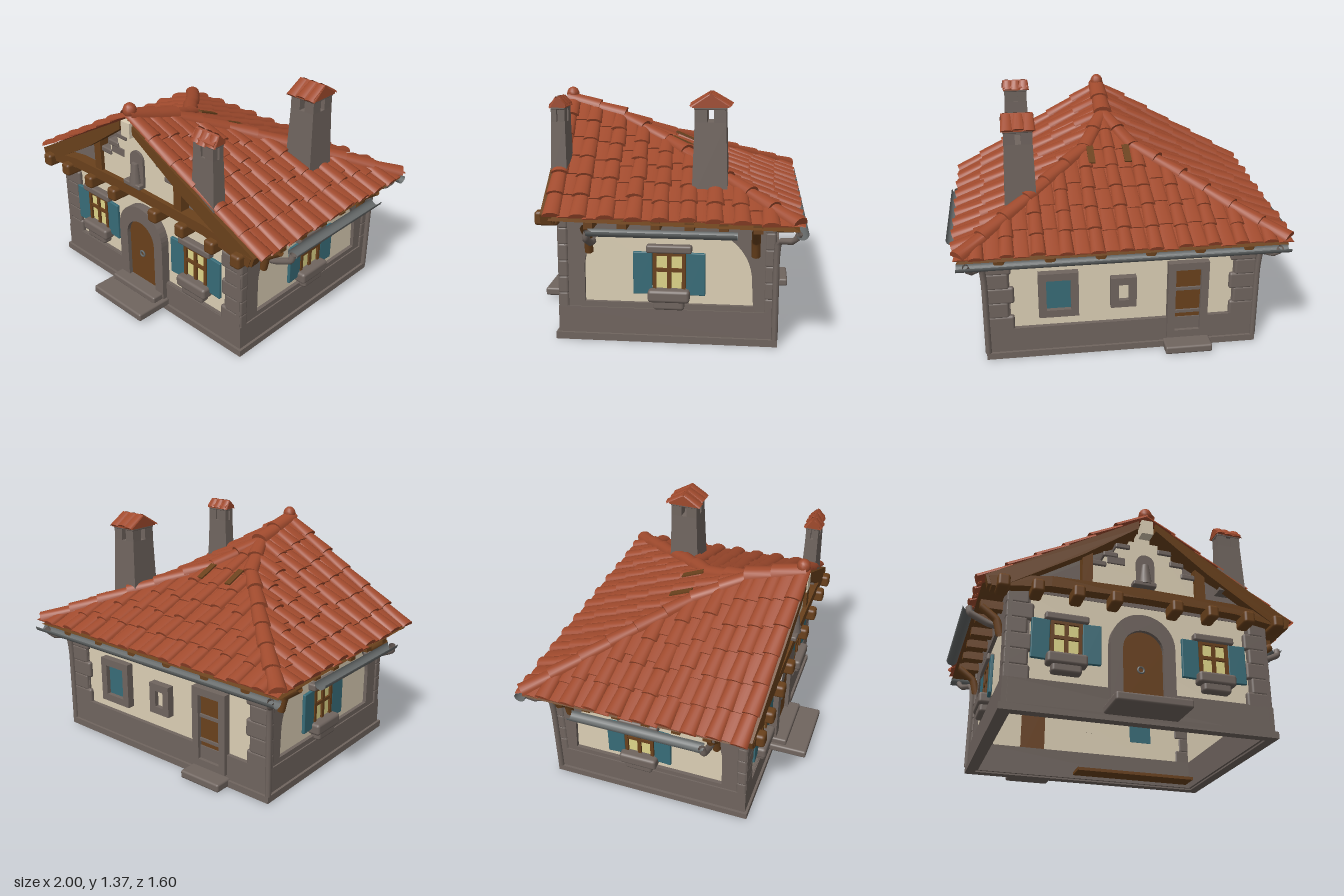
import * as THREE from 'three';
import { mergeGeometries, toCreasedNormals } from 'three/addons/utils/BufferGeometryUtils.js';
import { RoundedBoxGeometry } from 'three/addons/geometries/RoundedBoxGeometry.js';

const V = (x, y, z) => new THREE.Vector3(x, y, z);
const mat = (name, color) => new THREE.MeshStandardMaterial({ name, color, side: THREE.DoubleSide });
const M = {
  tile: mat('terracotta', 0xa04a2d), stone: mat('stone', 0x70655f), plaster: mat('plaster', 0xdccfb5),
  wood: mat('wood', 0x6a411c), teal: mat('teal paint', 0x386c78), glass: mat('lit glass', 0xdfd68a),
  metal: mat('gutter metal', 0x666a6a),
};
let seed = 7;
const rnd = () => (seed = (seed * 16807) % 2147483647) / 2147483647;

function add(parent, name, geo, material, x = 0, y = 0, z = 0) {
  const m = new THREE.Mesh(geo, material);
  m.name = name;
  m.position.set(x, y, z);
  parent.add(m);
  return m;
}
const box = (p, name, m, w, h, d, x, y, z) => add(p, name, new THREE.BoxGeometry(w, h, d), m, x, y, z);
const soft = (p, name, m, w, h, d, x, y, z) =>
  add(p, name, new RoundedBoxGeometry(w, h, d, 2, Math.min(w, h, d) * 0.25), m, x, y, z);
const poly = pts => new THREE.Shape(pts.map(q => new THREE.Vector2(...q)));
const extrude = (shape, depth) => new THREE.ExtrudeGeometry(shape, { depth, bevelEnabled: false, curveSegments: 10 });
const rect = (x0, x1, y0, y1) => poly([[x0, y0], [x1, y0], [x1, y1], [x0, y1]]);

// Hollow rectangular course of wall, centred on the house
function course(p, name, m, w, d, t, y0, y1) {
  const s = rect(-w / 2, w / 2, -d / 2, d / 2);
  s.holes.push(rect(-w / 2 + t, w / 2 - t, -d / 2 + t, d / 2 - t));
  add(p, name, extrude(s, y1 - y0), m, 0, y0, -0.04).rotation.x = -Math.PI / 2;
}
// Box whose top is scaled
function taper(w, h, d, k) {
  const g = new THREE.BoxGeometry(w, h, d), a = g.attributes.position;
  for (let i = 0; i < a.count; i++) if (a.getY(i) > 0) a.setXYZ(i, a.getX(i) * k, a.getY(i), a.getZ(i) * k);
  g.computeVertexNormals();
  return g;
}
// Surface from a two-parameter rule
function sheet(nu, nv, f) {
  const pos = [], idx = [];
  for (let i = 0; i <= nu; i++) for (let j = 0; j <= nv; j++) {
    pos.push(...f(i / nu, j / nv).toArray());
    if (i < nu && j < nv) {
      const a = i * (nv + 1) + j, b = a + nv + 1;
      idx.push(a, b, a + 1, b, b + 1, a + 1);
    }
  }
  const g = new THREE.BufferGeometry();
  g.setAttribute('position', new THREE.Float32BufferAttribute(pos, 3));
  g.setIndex(idx);
  g.computeVertexNormals();
  return g;
}
// Overlapping half-round tiles from the low end a to the high end b
function tileRow(out, a, b, r, rise, step = 0.17) {
  const len = a.distanceTo(b), n = Math.max(1, Math.round(len / step));
  const d = b.clone().sub(a).normalize();
  const side = d.clone().cross(V(0, 1, 0)).normalize(), up = side.clone().cross(d);
  for (let i = 0; i < n; i++) {
    const l0 = i * len / n - 0.012 - rnd() * 0.015, l1 = (i + 1) * len / n + 0.01;
    const sway = (rnd() - 0.5) * 0.012, lift = 0.006 + rnd() * 0.007;
    out.push(sheet(2, 8, (u, v) => {
      const k = u === 0 ? 0 : u === 0.5 ? r : r * 0.82, t = v * Math.PI;
      return a.clone().addScaledVector(d, u === 1 ? l1 : l0)
        .addScaledVector(side, Math.cos(t) * k + sway)
        .addScaledVector(up, Math.sin(t) * k * rise + (u === 1 ? 0 : lift));
    }));
  }
}

// Roof key points: sloping front ridge, then two bent hips to the back corners
const APEX = V(0, 1.19, 0.32), FRONT = V(0, 1.295, 0.65), EX = 0.925, BACK = -0.755;
const BEND = 0.15, BENDZ = 0.03;
const hip = (t, s) => {
  const knee = V(s * BEND * EX, 1.065, BENDZ);
  return t < BEND ? APEX.clone().lerp(knee, t / BEND)
    : knee.lerp(V(s * EX, 0.735, BACK), (t - BEND) / (1 - BEND));
};
const sideLow = (u, s) => V(s * EX, 0.76 - 0.025 * u, THREE.MathUtils.lerp(0.57, BACK, u));
const sideTop = (u, s) => {
  const z = THREE.MathUtils.lerp(FRONT.z, BACK, u);
  if (z > APEX.z) return APEX.clone().lerp(FRONT, (z - APEX.z) / (FRONT.z - APEX.z));
  return hip(z > BENDZ ? BEND * (APEX.z - z) / (APEX.z - BENDZ)
    : BEND + (1 - BEND) * (BENDZ - z) / (BENDZ - BACK), s);
};
const backLow = x => V(x, 0.735, BACK);

function buildRoof(house) {
  const roof = new THREE.Group();
  roof.name = 'roof';
  house.add(roof);
  const decks = dy => [
    ...[-1, 1].map(s => sheet(40, 1, (u, v) => sideTop(u, s).lerp(sideLow(u, s), v).add(V(0, dy, 0)))),
    sheet(40, 1, (u, v) => {
      const x = (u * 2 - 1) * EX;
      return hip(Math.abs(x) / EX, Math.sign(x)).lerp(backLow(x), v).add(V(0, dy, 0));
    })];
  add(roof, 'roofDeck', toCreasedNormals(mergeGeometries(decks(0)), 0.4), M.tile);
  add(roof, 'roofUnderside', toCreasedNormals(mergeGeometries(decks(-0.028)), 0.4), M.wood);

  const tiles = [];
  for (const s of [-1, 1]) {
    for (let i = 0; i < 18; i++) {
      const u = 0.015 + i / 18.4, cover = i % 2 === 0;
      tileRow(tiles, sideLow(u, s), sideTop(u, s), cover ? 0.05 : 0.045, cover ? 0.6 : 0.2);
    }
    tileRow(tiles, hip(0.98, s), hip(BEND, s), 0.05, 0.8, 0.2);
    tileRow(tiles, hip(BEND, s), hip(0, s), 0.05, 0.7, 0.17);
  }
  for (let i = -11; i <= 11; i++) {
    const x = i * 0.0815, cover = i % 2 === 0;
    tileRow(tiles, backLow(x), hip(Math.abs(x) / EX, Math.sign(x)), cover ? 0.043 : 0.045, cover ? 0.6 : 0.2);
  }
  tileRow(tiles, APEX, FRONT, 0.06, 0.75, 0.2);
  add(roof, 'roofTiles', toCreasedNormals(mergeGeometries(tiles), 0.7), M.tile);
  const knob = add(roof, 'ridgeFinial', new THREE.SphereGeometry(0.045, 12, 8), M.tile, 0, 1.32, 0.63);
  knob.scale.set(0.9, 1, 0.9);
  // Gaps with missing tiles near the apex
  for (const x of [-0.1, 0.12])
    box(roof, 'roofGap', M.wood, 0.042, 0.009, 0.15, x, 1.05, -0.08).rotation.x = -0.4;
}

// Window facing +z with its centre on the wall face
function shutteredWindow(house, x, y, z, turn) {
  const g = new THREE.Group();
  g.name = 'shutteredWindow';
  g.position.set(x, y, z);
  g.rotation.y = turn;
  house.add(g);
  box(g, 'glass', M.glass, 0.17, 0.23, 0.08, 0, 0, -0.03);
  for (const s of [-1, 1]) {
    box(g, 'frameSide', M.wood, 0.02, 0.24, 0.03, s * 0.08, 0, 0.008);
    box(g, 'frameRail', M.wood, 0.17, 0.018, 0.03, 0, s * 0.11, 0.008);
    soft(g, 'shutter', M.teal, 0.105, 0.24, 0.02, s * 0.146, 0, 0.014).rotation.y = -s * 0.06;
  }
  box(g, 'mullion', M.wood, 0.022, 0.23, 0.02, 0, 0, 0.012);
  box(g, 'crossbar', M.wood, 0.17, 0.02, 0.02, 0, 0.02, 0.012);
  soft(g, 'lintel', M.stone, 0.25, 0.045, 0.05, 0, 0.14, 0.015);
  soft(g, 'planterRim', M.stone, 0.23, 0.07, 0.08, 0, -0.12, 0.03);
  soft(g, 'planterBase', M.stone, 0.17, 0.08, 0.065, 0, -0.16, 0.025);
}

// Square stone surround with a filling, on the back wall
function backOpening(house, name, x, y, w, h, fill) {
  const s = rect(-w / 2, w / 2, -h / 2, h / 2);
  s.holes.push(rect(-w / 2 + 0.045, w / 2 - 0.045, -h / 2 + 0.045, h / 2 - 0.045));
  add(house, name + 'Surround', extrude(s, 0.045), M.stone, x, y, -0.66);
  box(house, name, fill, w - 0.08, h - 0.08, 0.05, x, y, -0.608);
}

function chimney(house, name, x, z, w, d, y0, y1, capH, core) {
  const g = new THREE.Group(), neck = y1 - 0.09;
  g.name = name;
  g.position.set(x, 0, z);
  house.add(g);
  add(g, 'shaft', taper(w, neck - y0, d, 0.86), M.stone, 0, (neck + y0) / 2, 0);
  for (const sx of [-1, 1]) for (const sz of [-1, 1])
    box(g, 'ventPost', M.stone, w * 0.34, 0.09, d * 0.34, sx * w * 0.26, y1 - 0.045, sz * d * 0.26);
  if (core) box(g, 'ventCore', M.stone, w * 0.6, 0.09, d * 0.6, 0, y1 - 0.045, 0);
  soft(g, 'chimneyLip', M.stone, w * 0.9, 0.025, d * 0.9, 0, y1 - 0.01, 0);
  // Two rows of cap tiles over a solid gabled cap
  const caps = [], run = d * 0.52 - 0.02;
  for (const s of [-1, 1]) for (let i = -1; i <= 1; i++)
    tileRow(caps, V(i * w * 0.32, y1, s * run), V(i * w * 0.32, y1 + capH, s * 0.01), w * 0.19, 0.4, 0.3);
  add(g, 'chimneyTiles', toCreasedNormals(mergeGeometries(caps), 0.7), M.tile);
  const gable = extrude(poly([[-d * 0.5, -0.01], [d * 0.5, -0.01], [d * 0.5, 0.008], [0, capH + 0.015], [-d * 0.5, 0.008]]),
    w * 0.95);
  add(g, 'chimneyCap', gable, M.tile, -w * 0.475, y1, 0).rotation.y = Math.PI / 2;
}

function tube(house, name, m, r, ...pts) {
  add(house, name, new THREE.TubeGeometry(new THREE.CatmullRomCurve3(pts, false, 'catmullrom', 0.2), 20, r, 8), m);
}

export function createModel() {
  const house = new THREE.Group();
  house.name = 'cottage';
  const Q = Math.PI / 2;

  // Walls, open underneath
  course(house, 'plasterWalls', M.plaster, 1.51, 1.15, 0.03, 0.05, 0.77);
  course(house, 'plinth', M.stone, 1.57, 1.2, 0.06, 0.03, 0.21);
  course(house, 'footing', M.stone, 1.6, 1.23, 0.06, 0.02, 0.06);
  box(house, 'floorRemnant', M.wood, 0.8, 0.02, 0.14, 0.3, 0.06, -0.52);
  for (const s of [-1, 1]) {
    // Side stonework around an arched plaster panel
    const wall = rect(-0.56, 0.63, 0.06, 0.76), arch = new THREE.Path();
    arch.moveTo(-0.41, 0.24).lineTo(0.52, 0.24);
    arch.lineTo(0.51, 0.42).quadraticCurveTo(0.49, 0.57, 0.34, 0.65);
    arch.lineTo(-0.28, 0.65).quadraticCurveTo(-0.4, 0.6, -0.41, 0.45);
    wall.holes.push(arch);
    add(house, 'sideStonework', extrude(wall, 0.025), M.stone, s > 0 ? 0.752 : -0.777, 0, 0).rotation.y = Q;
    // Corner piers faced with irregular stones
    for (const z of [0.53, -0.61]) {
      box(house, 'cornerPier', M.stone, 0.12, 0.57, 0.03, s * 0.71, 0.47, z);
      for (let i = 0; i < 6; i++) {
        const w = (i % 2 ? 0.12 : 0.145) + rnd() * 0.015;
        soft(house, 'cornerStone', M.stone, w, 0.105, 0.06, s * (0.785 - w / 2), 0.24 + i * 0.093, z);
      }
    }
  }
  box(house, 'frontStoneBand', M.stone, 1.5, 0.03, 0.03, 0, 0.2, 0.54);

  // Windows
  shutteredWindow(house, -0.445, 0.455, 0.54, 0);
  shutteredWindow(house, 0.43, 0.45, 0.54, 0);
  shutteredWindow(house, 0.76, 0.415, -0.06, Q);
  shutteredWindow(house, -0.76, 0.415, -0.1, -Q);

  // Arched front door
  const archShape = (w, y0, y1) => {
    const s = new THREE.Shape();
    s.moveTo(-w, y0).lineTo(w, y0).lineTo(w, y1 - w);
    return s.absarc(0, y1 - w, w, 0, Math.PI, false).lineTo(-w, y0);
  };
  const surround = archShape(0.19, 0.1, 0.67);
  surround.holes.push(archShape(0.12, 0.14, 0.57));
  add(house, 'doorSurround', extrude(surround, 0.06), M.stone, -0.01, 0, 0.53);
  add(house, 'frontDoor', extrude(archShape(0.125, 0.13, 0.575), 0.075), M.wood, -0.01, 0, 0.49);
  add(house, 'doorHandle', new THREE.TorusGeometry(0.018, 0.006, 6, 14), M.metal, -0.02, 0.335, 0.57);
  soft(house, 'lowerStep', M.stone, 0.43, 0.05, 0.24, -0.02, 0.078, 0.675);
  soft(house, 'upperStep', M.stone, 0.38, 0.045, 0.12, -0.02, 0.118, 0.6);

  // Back wall openings
  backOpening(house, 'backWindow', 0.375, 0.42, 0.23, 0.28, M.teal);
  backOpening(house, 'smallWindow', 0, 0.41, 0.15, 0.19, M.plaster);
  backOpening(house, 'backDoor', -0.38, 0.33, 0.24, 0.49, M.wood);
  for (const y of [0.25, 0.4]) box(house, 'backDoorRail', M.stone, 0.15, 0.018, 0.02, -0.38, y, -0.635);
  soft(house, 'backStep', M.stone, 0.28, 0.05, 0.12, -0.38, 0.045, -0.685);

  // Front gable with stepped plaster and niche
  add(house, 'gableWall', extrude(poly([[-0.75, 0.74], [0.75, 0.74], [0.75, 0.81], [0, 1.2], [-0.75, 0.81]]), 0.03),
    M.stone, 0, 0, 0.508);
  const half = [[0.31, 0.8], [0.31, 0.95], [0.24, 0.95], [0.24, 1.02], [0.17, 1.02], [0.17, 1.09], [0.09, 1.09],
    [0.09, 1.15], [0.04, 1.15], [0.04, 1.21]];
  add(house, 'gablePlaster', extrude(poly([...half, ...half.map(([x, y]) => [-x, y]).reverse()]), 0.05),
    M.plaster, 0, 0, 0.54);
  for (const s of [-1, 1]) for (const [x, y] of [[0.275, 0.965], [0.205, 1.035], [0.13, 1.105]])
    soft(house, 'gableStepStone', M.stone, 0.09, 0.035, 0.07, s * x, y, 0.565);
  box(house, 'gablePeak', M.plaster, 0.07, 0.09, 0.07, 0, 1.215, 0.635);
  add(house, 'niche', extrude(archShape(0.055, 0.84, 1.06), 0.03), M.stone, 0.005, 0, 0.575);
  add(house, 'nichePillar', new THREE.CylinderGeometry(0.022, 0.04, 0.13, 10), M.stone, 0, 0.92, 0.61);
  soft(house, 'nicheSill', M.stone, 0.14, 0.03, 0.06, -0.01, 0.85, 0.61);
  soft(house, 'gableStone', M.stone, 0.11, 0.05, 0.02, -0.17, 1.0, 0.586);

  // Front timber truss
  add(house, 'tieBeam', extrude(poly([[-0.88, 0.7], [-0.55, 0.75], [0, 0.76], [0.55, 0.75], [0.88, 0.7],
    [0.9, 0.76], [0.55, 0.815], [0, 0.825], [-0.55, 0.815], [-0.9, 0.76]]), 0.07), M.wood, 0, 0, 0.55);
  for (const s of [-1, 1]) {
    const barge = poly([[s * 0.05, 1.2], [s * 0.05, 1.25], [s * 0.915, 0.765], [s * 0.9, 0.71], [s * 0.8, 0.72],
      [s * 0.38, 0.97]]);
    add(house, 'bargeBoard', extrude(barge, 0.06), M.wood, 0, 0, 0.61).rotation.y = s * 0.06;
    box(house, 'trussPost', M.wood, 0.06, 0.24, 0.06, s * 0.345, 0.9, 0.58);
    for (const x of [0.18, 0.4, 0.63, 0.82]) soft(house, 'frontJoist', M.wood, 0.07, 0.08, 0.13, s * x, 0.725, 0.6);
    // Side brackets and joists
    for (const z of [0.38, -0.53])
      tube(house, 'eaveBracket', M.wood, 0.024, V(s * 0.785, 0.53, z), V(s * 0.81, 0.62, z), V(s * 0.9, 0.69, z));
    for (let i = 0; i < 6; i++) box(house, 'sideJoist', M.wood, 0.15, 0.05, 0.05, s * 0.83, 0.71, 0.36 - i * 0.18);
  }
  for (const x of [-0.7, -0.42, -0.14, 0.14, 0.42, 0.7])
    soft(house, 'backJoist', M.wood, 0.07, 0.07, 0.14, x, 0.685, -0.67);

  buildRoof(house);
  chimney(house, 'mainChimney', 0.56, -0.27, 0.19, 0.2, 0.8, 1.32, 0.055, false);
  chimney(house, 'frontChimney', 0.55, 0.575, 0.17, 0.09, 0.9, 1.31, 0.035, true);

  // Half-round gutters and pipes
  const gutter = (len, x, z, turn) => {
    const g = new THREE.CylinderGeometry(0.034, 0.034, len, 10, 1, true, -Q, Math.PI).rotateX(Q);
    add(house, 'gutter', g, M.metal, x, 0.7, z).rotation.y = turn;
  };
  gutter(1.86, 0, -0.766, Q);
  for (const s of [-1, 1]) {
    gutter(0.79, s * 0.964, -0.04, 0);
    tube(house, 'frontSpout', M.stone, 0.02, V(s * 0.964, 0.69, 0.35), V(s * 0.955, 0.65, 0.36),
      V(s * 0.85, 0.6, 0.36), V(s * 0.78, 0.59, 0.36));
    tube(house, 'downpipe', M.stone, 0.018, V(s * 0.88, 0.69, -0.755), V(s * 0.86, 0.64, -0.73),
      V(s * 0.8, 0.62, -0.65), V(s * 0.79, 0.5, -0.64), V(s * 0.79, 0.06, -0.64));
  }
  return house;
}
